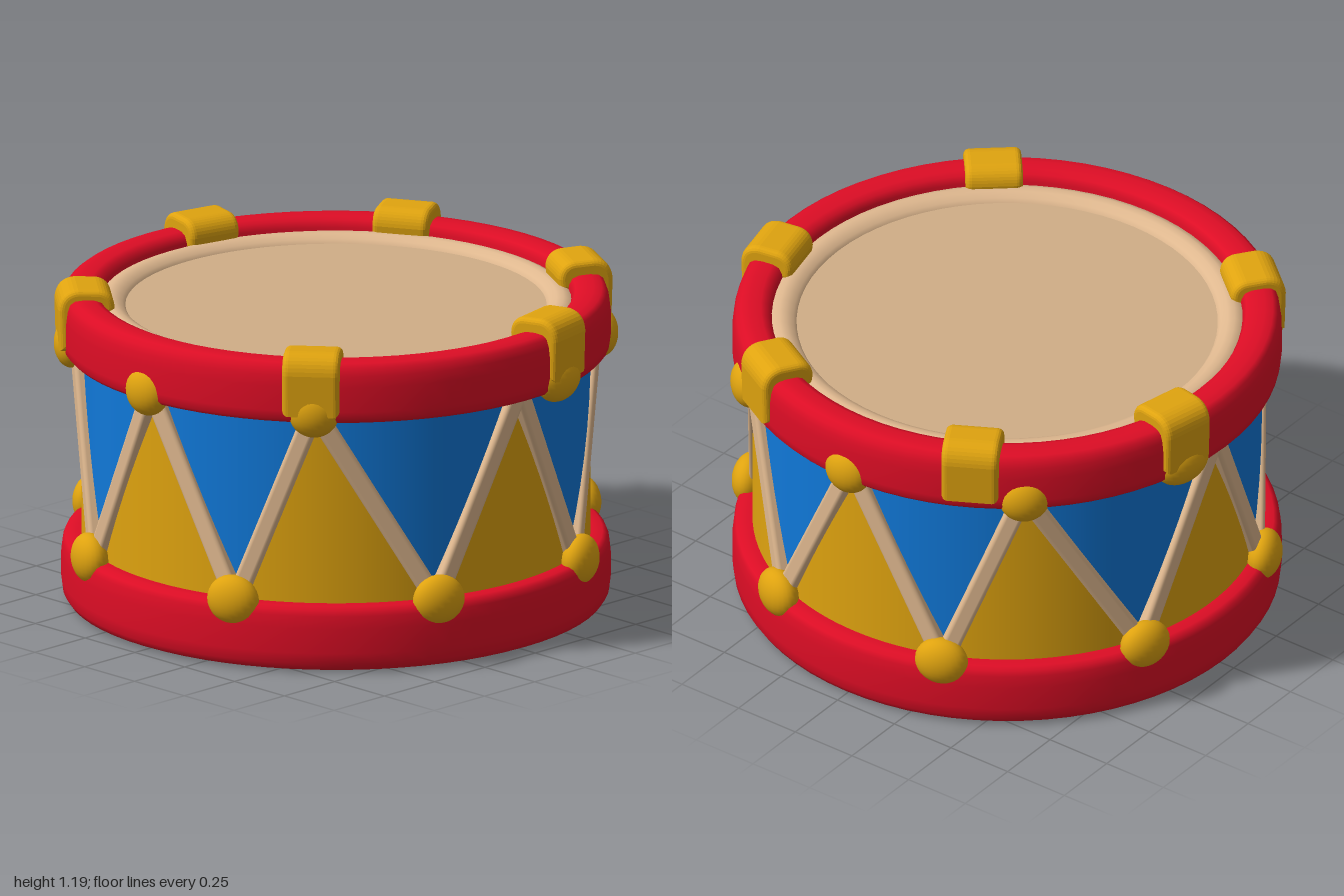
import * as THREE from 'three';
import { RoundedBoxGeometry } from 'three/addons/geometries/RoundedBoxGeometry.js';

const flat = (name, color) => {
  const m = new THREE.MeshStandardMaterial({ color });
  m.name = name;
  return m;
};
const rad = THREE.MathUtils.degToRad;

export function createModel() {
  const red = flat('red', 0xde0d25);
  const blue = flat('blue', 0x1078d8);
  const yellow = flat('golden yellow', 0xdfa30f);
  const beige = flat('beige', 0xdfb88f);
  const tan = flat('tan skin', 0xd0ae87);

  const drum = new THREE.Group();
  drum.name = 'drum';
  const add = (name, geometry, material, parent = drum) => {
    const mesh = new THREE.Mesh(geometry, material);
    mesh.name = name;
    parent.add(mesh);
    return mesh;
  };
  // angles run from the front (+z) towards +x
  const polar = (deg, r, y) =>
    new THREE.Vector3(Math.sin(rad(deg)) * r, y, Math.cos(rad(deg)) * r);
  const lathe = (points) =>
    new THREE.LatheGeometry(points.map(([x, y]) => new THREE.Vector2(x, y)), 72);

  // hoops
  add('bottomHoop', lathe([
    [0, 0.005], [0.9, 0.005], [0.925, 0.007], [0.952, 0.018], [0.966, 0.04],
    [0.971, 0.08], [0.971, 0.17], [0.966, 0.215], [0.958, 0.235], [0.942, 0.245],
    [0.91, 0.246], [0.88, 0.244],
  ]), red);
  add('topHoop', lathe([
    [0.87, 0.928], [0.93, 0.924], [0.955, 0.927], [0.967, 0.94], [0.971, 0.97],
    [0.971, 1.06], [0.966, 1.1], [0.957, 1.128], [0.94, 1.141], [0.91, 1.145],
    [0.87, 1.143], [0.846, 1.134], [0.833, 1.11], [0.83, 1.05],
  ]), red);

  // drum head: rolled edge and flat skin
  add('skinRim', lathe([
    [0.85, 1.05], [0.845, 1.08], [0.83, 1.098], [0.805, 1.108], [0.78, 1.105],
    [0.755, 1.092], [0.742, 1.075], [0.735, 1.05],
  ]), beige);
  const skin = add('skin', new THREE.CircleGeometry(0.745, 72), tan);
  skin.rotation.x = -Math.PI / 2;
  skin.position.y = 1.078;

  // zigzag knots around the shell, high and low by turns
  const angles = [0, 22.5, 40.5, 68, 90, 112, 139.5, 157.5, 180];
  const knots = angles.map((deg, i) => ({ deg, high: i % 2 === 0 }));
  for (let i = angles.length - 2; i >= 0; i--) {
    knots.push({ deg: 360 - angles[i], high: i % 2 === 0 });
  }
  const TOP = 0.96, LOW = 0.24, SHELL = 0.9;

  // shell panels: triangles of colour below and above the zigzag
  const panel = (lower) => {
    const position = [], normal = [], index = [];
    const STEPS = 8;
    for (let k = 0; k < knots.length - 1; k++) {
      const a = knots[k], b = knots[k + 1];
      for (let s = 0; s <= STEPS; s++) {
        const t = s / STEPS;
        const deg = THREE.MathUtils.lerp(a.deg, b.deg, t);
        const edge = THREE.MathUtils.lerp(a.high ? TOP : LOW, b.high ? TOP : LOW, t);
        const n = polar(deg, 1, 0).toArray();
        const i = position.length / 3;
        position.push(...polar(deg, SHELL, lower ? 0.2 : edge).toArray());
        position.push(...polar(deg, SHELL, lower ? edge : TOP + 0.01).toArray());
        normal.push(...n, ...n);
        if (s < STEPS) index.push(i, i + 2, i + 1, i + 1, i + 2, i + 3);
      }
    }
    const g = new THREE.BufferGeometry();
    g.setAttribute('position', new THREE.Float32BufferAttribute(position, 3));
    g.setAttribute('normal', new THREE.Float32BufferAttribute(normal, 3));
    g.setIndex(index);
    return g;
  };
  add('lowerPanels', panel(true), yellow);
  add('upperPanels', panel(false), blue);

  // cords between the knots
  for (let k = 0; k < knots.length - 1; k++) {
    const a = knots[k], b = knots[k + 1];
    const p = polar(a.deg, 0.913, a.high ? TOP : LOW);
    const q = polar(b.deg, 0.913, b.high ? TOP : LOW);
    const along = q.clone().sub(p);
    const cord = add('cord', new RoundedBoxGeometry(0.068, along.length(), 0.055, 3, 0.016), beige);
    const up = along.clone().normalize();
    const out = polar((a.deg + b.deg) / 2, 1, 0);
    const side = up.clone().cross(out).normalize();
    out.crossVectors(side, up);
    cord.quaternion.setFromRotationMatrix(new THREE.Matrix4().makeBasis(side, up, out));
    cord.position.copy(p).add(q).multiplyScalar(0.5);
  }

  // round studs; the two side ones sit behind their cords, under a clamp
  const ball = new THREE.SphereGeometry(1, 24, 16);
  const stud = (deg, r, y, w, h, d) => {
    const mesh = add('stud', ball, yellow);
    mesh.position.copy(polar(deg, r, y));
    mesh.rotation.y = rad(deg);
    mesh.scale.set(w, h, d);
  };
  knots.slice(0, -1).forEach(({ deg, high }) => {
    if (!high) stud(deg, 0.94, 0.25, 0.096, 0.09, 0.062);
    else if (deg === 90 || deg === 270) {
      stud(deg === 90 ? 102 : 258, 0.94, 0.96, 0.112, 0.082, 0.06);
    } else stud(deg, 0.938, 0.957, 0.09, 0.088, 0.062);
  });

  // clamps folded over the top hoop
  const profile = new THREE.Shape();
  profile.moveTo(0.93, 0.99);
  profile.lineTo(0.968, 0.99);
  profile.lineTo(0.972, 1.12);
  profile.quadraticCurveTo(0.968, 1.172, 0.92, 1.175);
  profile.lineTo(0.85, 1.172);
  profile.quadraticCurveTo(0.815, 1.168, 0.812, 1.13);
  profile.lineTo(0.815, 1.105);
  profile.lineTo(0.93, 1.105);
  profile.closePath();
  const clampGeometry = new THREE.ExtrudeGeometry(profile, {
    depth: 0.16, curveSegments: 8,
    bevelEnabled: true, bevelSize: 0.02, bevelThickness: 0.022, bevelSegments: 4,
  });
  clampGeometry.translate(0, 0, -0.08);
  for (const deg of [40, 102.5, 151]) {
    for (const a of [deg, 360 - deg]) {
      const clamp = add('clamp', clampGeometry, yellow);
      clamp.rotation.y = rad(a - 90);
      clamp.position.y = deg === 40 ? -0.015 : 0;
    }
  }
  return drum;
}
